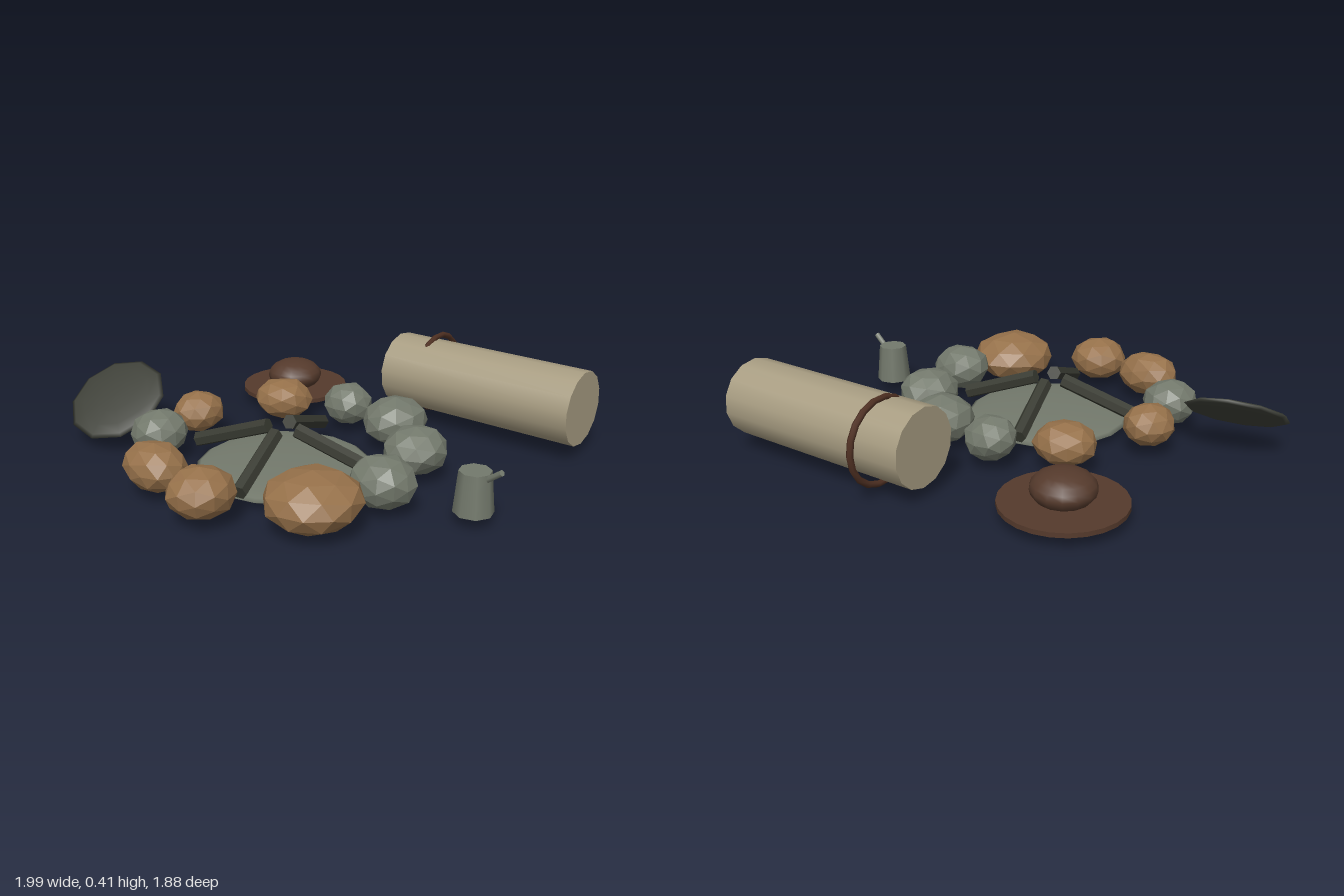
import * as THREE from 'three';

const mat = (name, color) => {
  const m = new THREE.MeshStandardMaterial({ color });
  m.name = name;
  return m;
};

export function createModel() {
  const group = new THREE.Group();
  const stoneGrey = mat('stone grey', 0x73796c);
  const stoneBrown = mat('stone brown', 0x96714a);
  const charred = mat('charred wood', 0x383a31);
  const iron = mat('dark iron', 0x3d3f37);
  const canvas = mat('canvas', 0xa89d82);
  const leather = mat('leather brown', 0x553a2c);
  const strapBrown = mat('strap brown', 0x4f3022);
  stoneGrey.flatShading = stoneBrown.flatShading = charred.flatShading = false;

  const add = (name, geo, material, x = 0, y = 0, z = 0) => {
    const m = new THREE.Mesh(geo, material);
    m.name = name;
    m.position.set(x, y, z);
    group.add(m);
    return m;
  };
  const UP = new THREE.Vector3(0, 1, 0);
  // cylinder running between two points
  const rod = (name, a, b, r, sides, material, flat) => {
    const p = new THREE.Vector3(...a), q = new THREE.Vector3(...b);
    let geo = new THREE.CylinderGeometry(r, r, p.distanceTo(q), sides);
    if (flat) { geo = geo.toNonIndexed(); geo.computeVertexNormals(); }
    const m = add(name, geo, material);
    m.position.copy(p).add(q).multiplyScalar(0.5);
    m.quaternion.setFromUnitVectors(UP, q.sub(p).normalize());
    return m;
  };

  // ash bed: a shallow lens
  const ash = new THREE.SphereGeometry(1, 18, 10);
  ash.scale(0.37, 0.035, 0.37);
  add('ashBed', ash, stoneGrey, 0.03, 0.035, 0.27);

  // charred logs leaning on each other: outer x, z then inner x, z
  [
    [-0.13, -0.10, 0.0, 0.21], [0.40, 0.12, 0.09, 0.25],
    [-0.35, 0.43, -0.03, 0.30], [0.19, 0.64, 0.06, 0.34],
  ].forEach(([ox, oz, ix, iz]) =>
    rod('log', [ox, 0.085, oz], [ix, 0.205, iz], 0.033, 6, charred, true));

  // faceted boulder with seeded lumps, stretched to its half sizes
  const boulder = (seed, rx, ry, rz) => {
    const geo = new THREE.IcosahedronGeometry(1, 1);
    geo.rotateY(seed * 1.7);
    const p = geo.attributes.position, v = new THREE.Vector3();
    for (let i = 0; i < p.count; i++) {
      v.fromBufferAttribute(p, i);
      const k = 1 + 0.05 * Math.sin(v.x * 5 + seed) * Math.cos(v.z * 4 + v.y * 3 - seed);
      p.setXYZ(i, v.x * k * rx, v.y * k * ry, v.z * k * rz);
    }
    geo.computeVertexNormals();
    return geo;
  };
  // ring of stones: x, z, half width, half height, half depth, material
  [
    [-0.125, -0.26, 0.11, 0.095, 0.11, stoneGrey],
    [0.17, -0.26, 0.14, 0.105, 0.15, stoneGrey],
    [0.45, -0.08, 0.135, 0.10, 0.14, stoneGrey],
    [0.57, 0.24, 0.135, 0.105, 0.125, stoneGrey],
    [0.50, 0.54, 0.195, 0.115, 0.195, stoneBrown],
    [0.165, 0.80, 0.137, 0.10, 0.137, stoneBrown],
    [-0.145, 0.79, 0.15, 0.10, 0.115, stoneBrown],
    [-0.43, 0.57, 0.12, 0.10, 0.125, stoneGrey],
    [-0.515, 0.30, 0.11, 0.09, 0.12, stoneBrown],
    [-0.38, -0.09, 0.135, 0.09, 0.125, stoneBrown],
  ].forEach(([x, z, rx, ry, rz, m], i) =>
    add('ringStone', boulder(i + 1, rx, ry, rz), m, x, 0.135, z));

  // bedroll and its strap
  const a = new THREE.Vector3(-0.145, 0.22, -0.64), b = new THREE.Vector3(0.783, 0.22, -0.78);
  rod('bedroll', a.toArray(), b.toArray(), 0.167, 14, canvas, false);
  const strap = add('bedrollStrap', new THREE.TorusGeometry(0.177, 0.014, 6, 18), strapBrown, 0.025, 0.22, -0.71);
  strap.quaternion.setFromUnitVectors(new THREE.Vector3(0, 0, 1), b.clone().sub(a).normalize());

  // hat: brim and rounded crown
  add('hatBrim', new THREE.CylinderGeometry(0.255, 0.255, 0.02, 24), leather, -0.625, 0.065, -0.38);
  const crown = new THREE.SphereGeometry(1, 14, 10);
  crown.scale(0.132, 0.075, 0.132);
  add('hatCrown', crown, leather, -0.625, 0.125, -0.38);

  // tilted pan leaning on a stone
  const pan = new THREE.SphereGeometry(1, 10, 8);
  pan.scale(0.225, 0.024, 0.225);
  add('pan', pan, iron, -0.78, 0.185, 0.555).quaternion
    .setFromUnitVectors(UP, new THREE.Vector3(0.2, 0.83, 0.52).normalize());

  // kettle with a spout
  add('kettleBody', new THREE.CylinderGeometry(0.064, 0.08, 0.17, 8), stoneGrey, 0.865, 0.135, 0.055);
  rod('kettleSpout', [0.915, 0.195, 0.055], [0.985, 0.248, 0.055], 0.013, 6, stoneGrey, false);

  return group;
}
